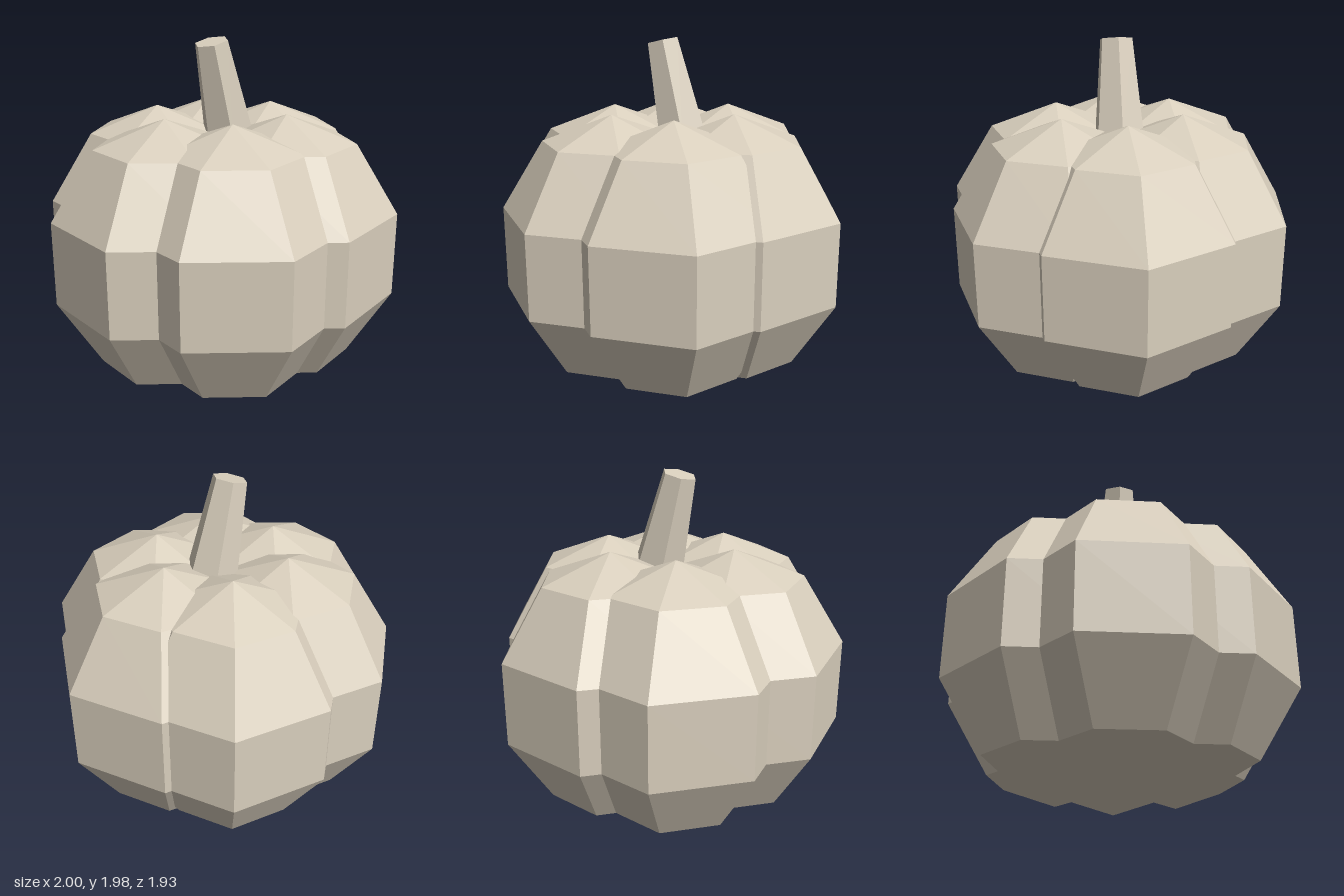
import * as THREE from 'three';

export function createModel() {
  const group = new THREE.Group();
  group.name = 'pumpkin';

  const cream = new THREE.MeshStandardMaterial({ color: 0xd9cfbd, flatShading: true });
  cream.name = 'cream';

  const centreX = -0.034;

  // Six overlapping low-poly lobes in a ring, all facing the same way
  const lobeGeometry = new THREE.SphereGeometry(0.673, 7, 5);
  lobeGeometry.rotateY(Math.PI);
  lobeGeometry.scale(1, 0.787 / 0.673, 1);
  for (let i = 0; i < 6; i++) {
    const angle = (i * Math.PI) / 3;
    const lobe = new THREE.Mesh(lobeGeometry, cream);
    lobe.name = `lobe${i + 1}`;
    lobe.position.set(centreX + 0.394 * Math.cos(angle), 0.793, 0.394 * Math.sin(angle));
    group.add(lobe);
  }

  // Tapered six-sided stem, leaning to the model's right
  const stemGeometry = new THREE.CylinderGeometry(0.098, 0.15, 0.54, 6);
  stemGeometry.rotateY(Math.PI / 2);
  const stem = new THREE.Mesh(stemGeometry, cream);
  stem.name = 'stem';
  stem.position.set(centreX, 1.705, 0);
  stem.rotation.z = 0.232;
  group.add(stem);

  return group;
}
